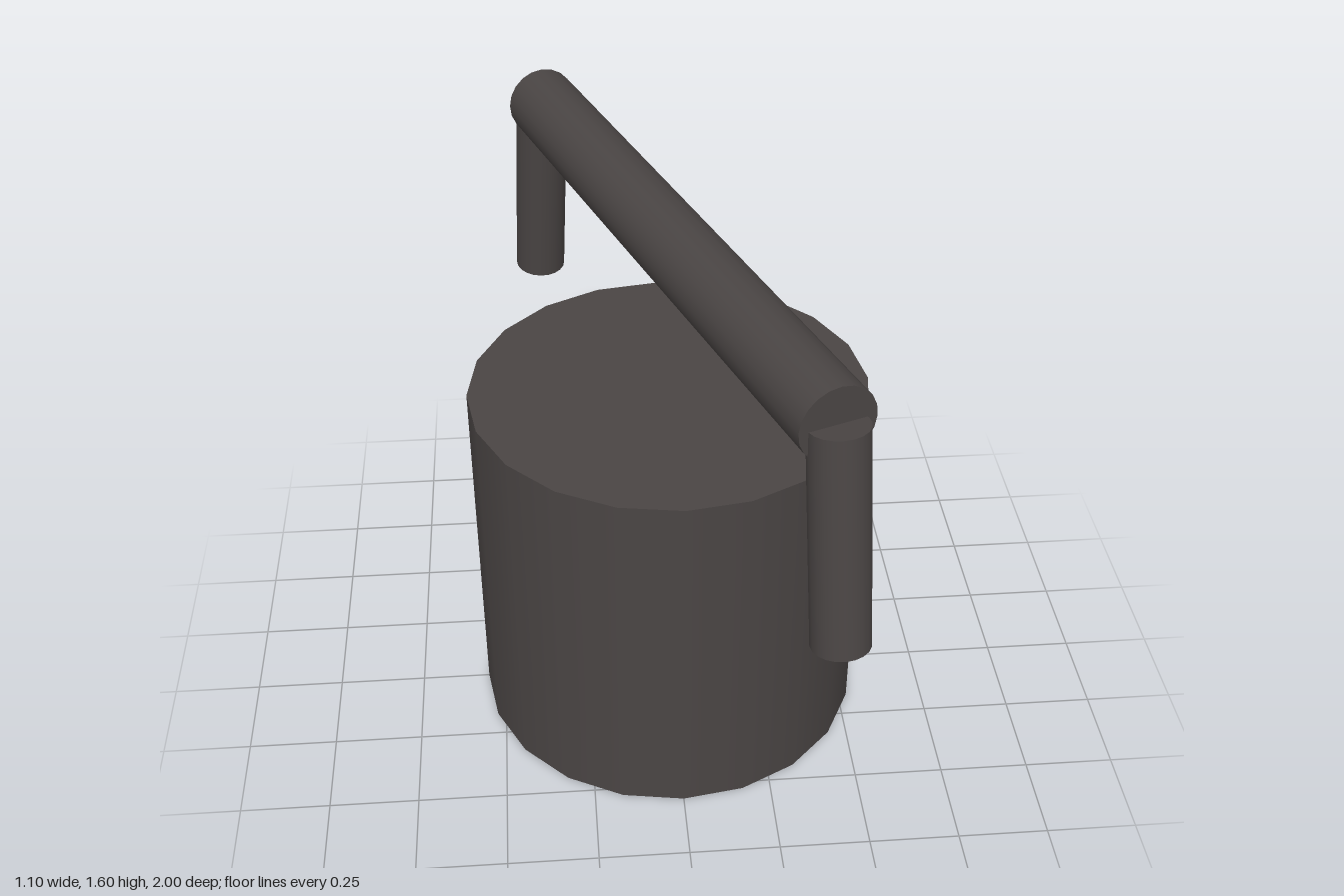
import * as THREE from 'three';

export function createModel() {
  const group = new THREE.Group();
  const iron = new THREE.MeshStandardMaterial({ color: 0x4a4544 });
  iron.name = 'dark iron';

  // Solid round rod between two points
  const rod = (name, from, to, radius) => {
    const axis = to.clone().sub(from);
    const mesh = new THREE.Mesh(new THREE.CylinderGeometry(radius, radius, axis.length(), 20), iron);
    mesh.name = name;
    mesh.position.copy(from).add(to).multiplyScalar(0.5);
    mesh.quaternion.setFromUnitVectors(new THREE.Vector3(0, 1, 0), axis.normalize());
    group.add(mesh);
  };

  // Drum-shaped body
  rod('body', new THREE.Vector3(0, 0, 0), new THREE.Vector3(0, 1.04, 0), 0.552);

  // Crossbar turned 20 degrees, with a splayed grip hanging from each end
  const turn = THREE.MathUtils.degToRad(20);
  const along = (distance, y) => new THREE.Vector3(Math.sin(turn) * distance, y, Math.cos(turn) * distance);
  rod('crossbar', along(-0.905, 1.5), along(0.905, 1.5), 0.1);
  for (const [name, side] of [['frontGrip', 1], ['backGrip', -1]]) {
    rod(name, along(side * 0.985, 0.913), along(side * 0.907, 1.5), 0.075);
  }

  return group;
}
